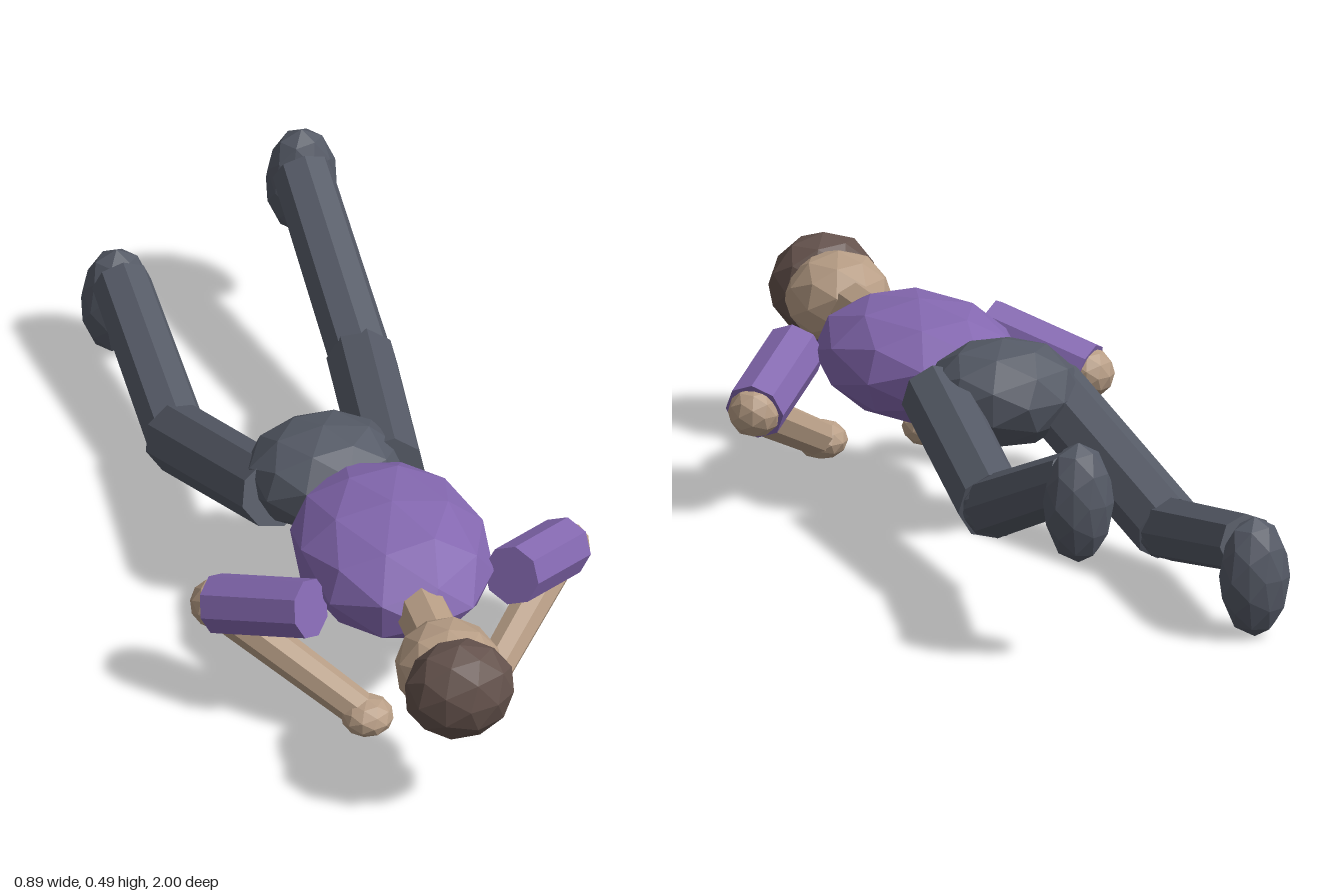
import * as THREE from 'three';

const mat = (name, color) => {
  const m = new THREE.MeshStandardMaterial({ color, flatShading: true });
  m.name = name;
  return m;
};

export function createModel() {
  const model = new THREE.Group();
  model.name = 'lyingFigure';
  const skin = mat('skin', 0xb89e86);
  const shirt = mat('purple shirt', 0x8468b0);
  const trousers = mat('slate trousers', 0x555a66);
  const hair = mat('brown hair', 0x64524c);
  const eyes = mat('dark eyes', 0x2c2422);

  // Low-poly ball with a vertex on its z pole
  const ballGeometry = new THREE.IcosahedronGeometry(1, 1);
  ballGeometry.rotateX(Math.atan2(1, (1 + Math.sqrt(5)) / 2));
  ballGeometry.rotateZ(Math.PI / 2);

  const ball = (name, material, center, radii) => {
    const mesh = new THREE.Mesh(ballGeometry, material);
    mesh.name = name;
    mesh.position.set(...center);
    mesh.scale.set(...radii);
    model.add(mesh);
    return mesh;
  };

  // Eight-sided limb running from a to b
  const limb = (name, material, a, b, ra, rb = ra) => {
    const start = new THREE.Vector3(...a), end = new THREE.Vector3(...b);
    const dir = end.clone().sub(start);
    const mesh = new THREE.Mesh(new THREE.CylinderGeometry(rb, ra, dir.length(), 8), material);
    mesh.name = name;
    mesh.position.copy(start).add(end).multiplyScalar(0.5);
    mesh.quaternion.setFromUnitVectors(new THREE.Vector3(0, 1, 0), dir.normalize());
    model.add(mesh);
  };

  // Trunk and head, face down with the crown toward +z
  ball('torso', shirt, [0, 0.308, 0.36], [0.215, 0.132, 0.295]);
  ball('hips', trousers, [-0.065, 0.31, 0.04], [0.175, 0.12, 0.15]);
  limb('neck', skin, [0, 0.315, 0.58], [0, 0.315, 0.76], 0.06);
  ball('head', skin, [0, 0.315, 0.82], [0.117, 0.104, 0.132]);
  ball('hair', hair, [0, 0.321, 0.905], [0.124, 0.117, 0.095]);

  // Mirrored arms and eyes
  for (const [side, s] of [['left', 1], ['right', -1]]) {
    const elbow = [s * 0.39, 0.232, 0.345];
    const hand = [s * 0.125, 0.067, 0.61];
    limb(side + 'UpperArm', shirt, [s * 0.225, 0.305, 0.515], elbow, 0.067);
    ball(side + 'Elbow', skin, elbow, [0.058, 0.056, 0.058]);
    limb(side + 'Forearm', skin, elbow, hand, 0.046, 0.04);
    ball(side + 'Hand', skin, hand, [0.058, 0.043, 0.058]);
    ball(side + 'Eye', eyes, [s * 0.038, 0.217, 0.83], [0.016, 0.014, 0.016]);
  }

  // Legs, the left one lifted higher
  const legs = [
    ['left', [0.075, 0.305, 0.075], [0.158, 0.213, -0.45], [0.15, 0.4, -0.905], [0.157, 0.357, -0.935]],
    ['right', [-0.185, 0.295, 0.075], [-0.263, 0.108, -0.425], [-0.262, 0.2, -0.88], [-0.265, 0.135, -0.91]],
  ];
  for (const [side, hip, knee, ankle, foot] of legs) {
    limb(side + 'Thigh', trousers, hip, knee, 0.078);
    ball(side + 'Knee', trousers, knee, [0.07, 0.07, 0.07]);
    limb(side + 'Shin', trousers, knee, ankle, 0.07, 0.066);
    ball(side + 'Foot', trousers, foot, [0.08, 0.135, 0.064]);
  }

  return model;
}
